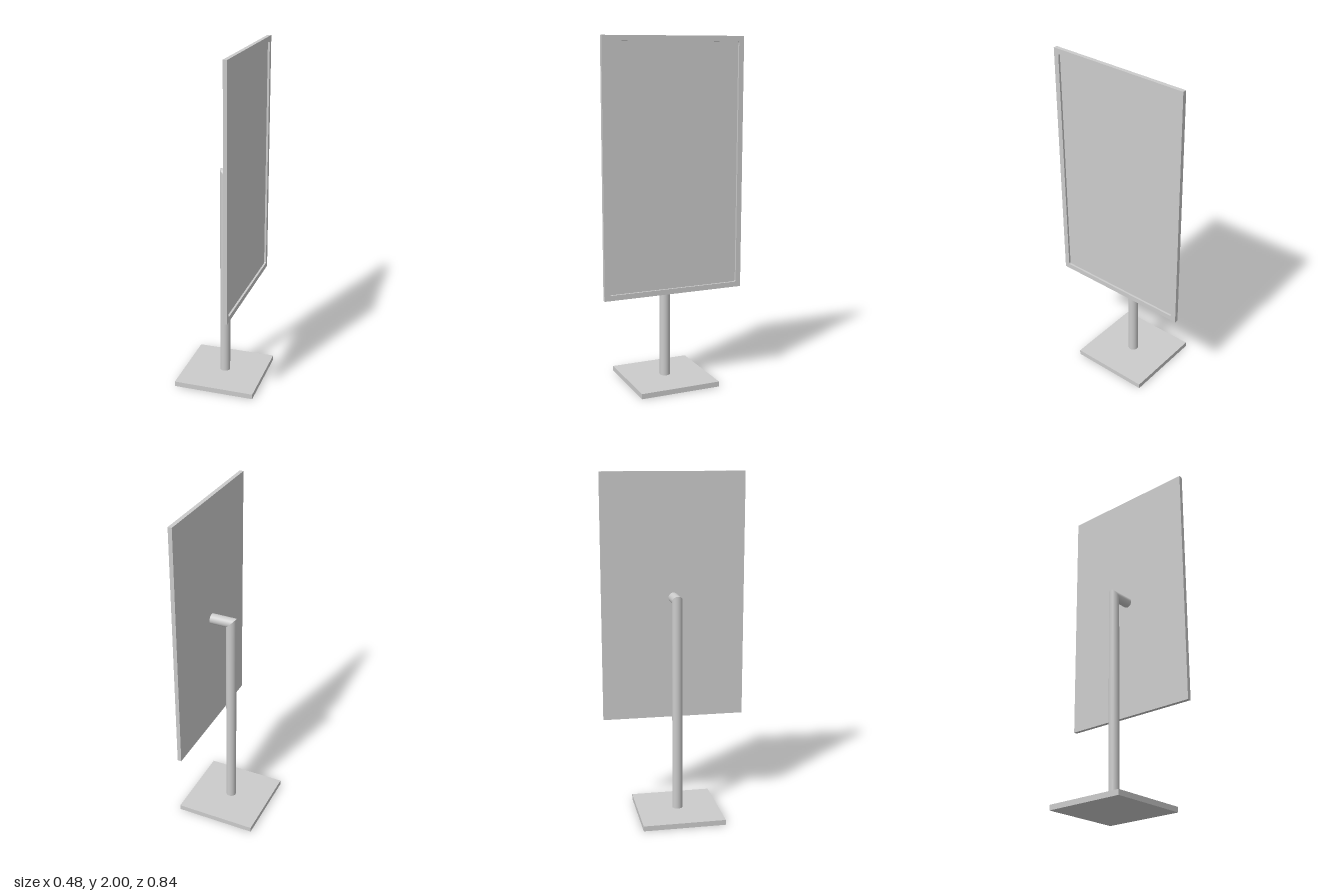
import * as THREE from 'three';

const material = new THREE.MeshStandardMaterial({ color: 0xcccccc });
const RADIUS = 0.03, ELBOW_Y = 1.28;
const PANEL = { width: 0.84, height: 1.44, y: 1.28, back: 0.12, slab: 0.011, rim: 0.012 };

function addMesh(parent, name, geometry) {
  const mesh = new THREE.Mesh(geometry, material);
  mesh.name = name;
  parent.add(mesh);
  return mesh;
}

// Open tube hanging down from the origin, its top end cut at 45 degrees
function mitredTube(length, slope) {
  const geometry = new THREE.CylinderGeometry(RADIUS, RADIUS, length, 48, 1, true);
  geometry.translate(0, -length / 2, 0);
  const p = geometry.attributes.position;
  for (let i = 0; i < p.count; i++) {
    if (p.getY(i) > -length / 2) p.setY(i, slope * p.getX(i));
  }
  return geometry;
}

// Rectangle with rounded corners, centred on the origin
function roundedRect(path, w, h, r) {
  const x = w / 2, y = h / 2;
  path.absarc(x - r, y - r, r, 0, Math.PI / 2);
  path.absarc(-x + r, y - r, r, Math.PI / 2, Math.PI);
  path.absarc(-x + r, -y + r, r, Math.PI, Math.PI * 1.5);
  path.absarc(x - r, -y + r, r, Math.PI * 1.5, Math.PI * 2);
  path.closePath();
  return path;
}

export function createModel() {
  const model = new THREE.Group();
  model.name = 'displayStand';

  // Square foot plate
  addMesh(model, 'base', new THREE.BoxGeometry(0.48, 0.03, 0.48)).position.y = 0.015;

  // Post and horizontal arm meeting in a mitred elbow
  addMesh(model, 'post', mitredTube(ELBOW_Y - 0.03, -1)).position.y = ELBOW_Y;
  const arm = addMesh(model, 'arm', mitredTube(PANEL.back, 1));
  arm.position.y = ELBOW_Y;
  arm.rotation.z = Math.PI / 2;

  // Panel facing +x: a flat slab with a raised rim around the screen
  const panel = new THREE.Group();
  panel.name = 'panel';
  panel.position.set(PANEL.back, PANEL.y, 0);
  panel.rotation.y = Math.PI / 2;
  model.add(panel);

  const { width: w, height: h, slab, rim } = PANEL;
  addMesh(panel, 'screen', new THREE.BoxGeometry(w, h, slab)).position.z = slab / 2;

  const outline = new THREE.Shape([
    new THREE.Vector2(-w / 2, -h / 2), new THREE.Vector2(w / 2, -h / 2),
    new THREE.Vector2(w / 2, h / 2), new THREE.Vector2(-w / 2, h / 2),
  ]);
  outline.holes.push(roundedRect(new THREE.Path(), w - 0.06, h - 0.06, 0.008));
  const frame = new THREE.ExtrudeGeometry(outline, { depth: rim, bevelEnabled: false, curveSegments: 6 });
  addMesh(panel, 'screenFrame', frame).position.z = slab;

  return model;
}
